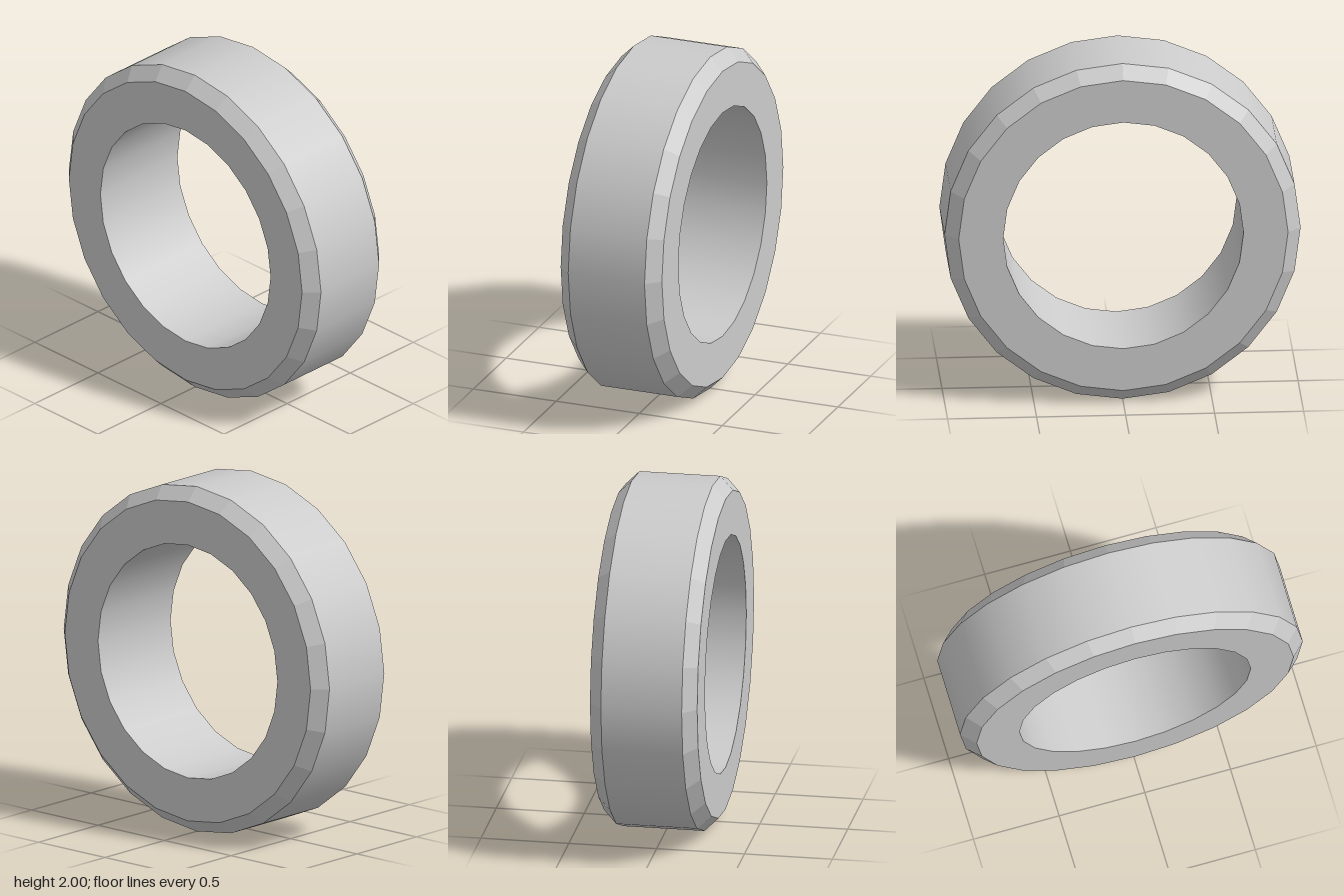
import * as THREE from 'three';

const SIDES = 24;
const OUTER = 1, RIM = 0.925, INNER = 0.675;
const HALF = 0.305, BAND = 0.23;

export function createModel() {
  const ring = new THREE.Group();
  ring.name = 'ring';

  const smooth = new THREE.MeshStandardMaterial({ color: 0xcccccc });
  const faceted = new THREE.MeshStandardMaterial({ color: 0xcccccc, flatShading: true });

  // One surface of revolution between two profile points [radius, depth]
  const surface = (name, from, to, material) => {
    const points = [new THREE.Vector2(...from), new THREE.Vector2(...to)];
    const mesh = new THREE.Mesh(new THREE.LatheGeometry(points, SIDES), material);
    mesh.name = name;
    ring.add(mesh);
  };

  // Profile runs counterclockwise, so every surface faces outwards
  surface('outerBand', [OUTER, -BAND], [OUTER, BAND], smooth);
  surface('frontBevel', [OUTER, BAND], [RIM, HALF], faceted);
  surface('frontFace', [RIM, HALF], [INNER, HALF], faceted);
  surface('bore', [INNER, HALF], [INNER, -HALF], smooth);
  surface('backFace', [INNER, -HALF], [RIM, -HALF], faceted);
  surface('backBevel', [RIM, -HALF], [OUTER, -BAND], faceted);

  // Stand the ring upright with its axis along z
  ring.rotation.x = Math.PI / 2;
  ring.position.y = OUTER;

  const model = new THREE.Group();
  model.name = 'bevelledRing';
  model.add(ring);
  return model;
}
